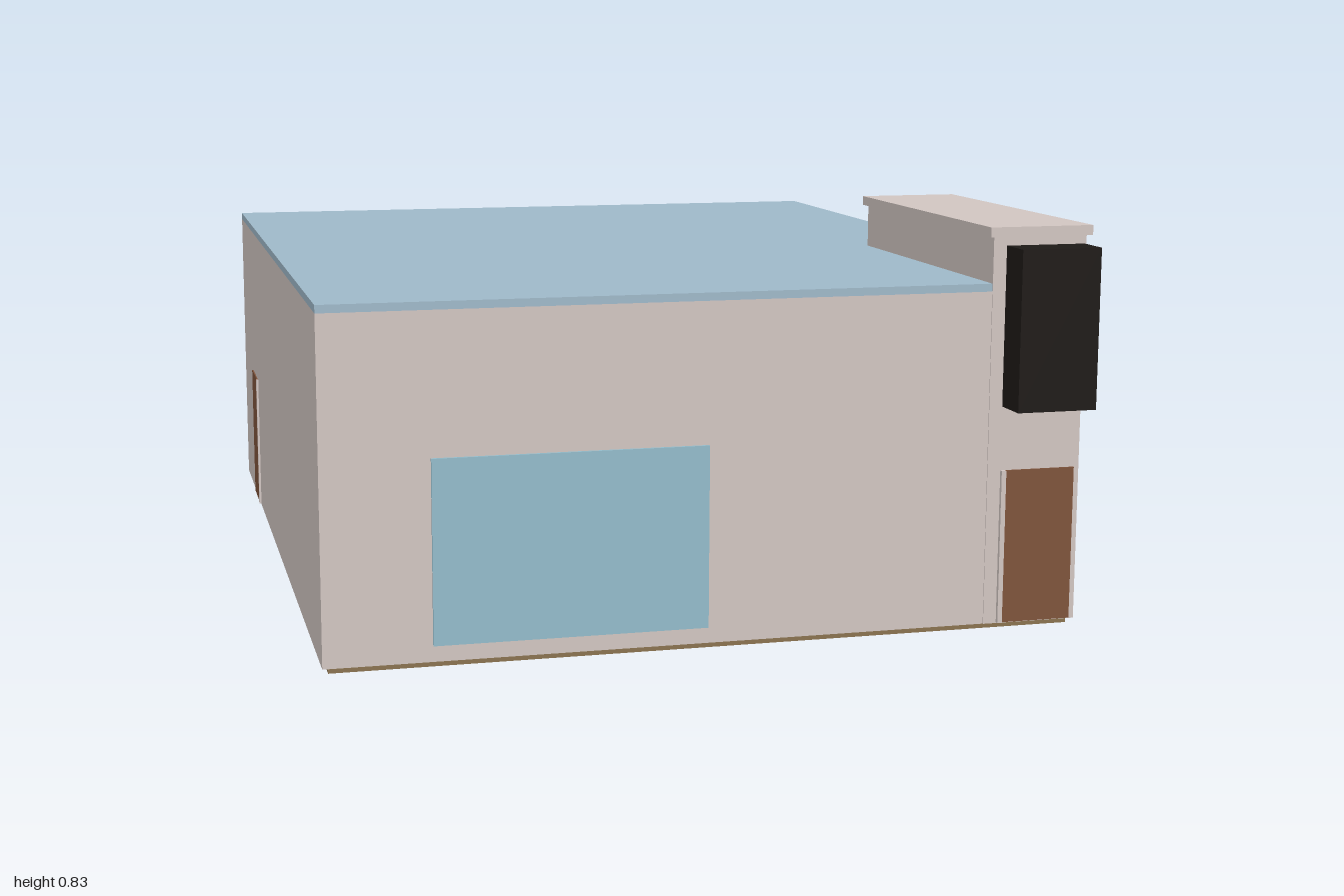
import * as THREE from 'three';

const paint = (color) => new THREE.MeshStandardMaterial({ color, side: THREE.DoubleSide });

export function createModel() {
  const shop = new THREE.Group();
  shop.name = 'shopBuilding';

  const wall = paint(0xd2c6c2);
  const roofBlue = paint(0x9fb9c9);
  const glass = paint(0x94bccb);
  const wood = paint(0x7f543b);
  const black = paint(0x1e1a17);
  const ground = paint(0x8a7350);

  // Box given by its extents along each axis
  const block = (name, material, [x0, x1], [y0, y1], [z0, z1]) => {
    const mesh = new THREE.Mesh(new THREE.BoxGeometry(x1 - x0, y1 - y0, z1 - z0), material);
    mesh.position.set((x0 + x1) / 2, (y0 + y1) / 2, (z0 + z1) / 2);
    mesh.name = name;
    shop.add(mesh);
    return mesh;
  };

  // L-shaped slab in plan, leaving a notch for the corner tower
  const slab = (name, material, y0, y1) => {
    const plan = new THREE.Shape([
      [-0.782, -0.92], [0.572, -0.92], [0.572, -0.2], [0.772, -0.2], [0.772, 0.945], [-0.782, 0.945],
    ].map(([x, y]) => new THREE.Vector2(x, y)));
    const geometry = new THREE.ExtrudeGeometry(plan, { depth: y1 - y0, bevelEnabled: false });
    geometry.rotateX(-Math.PI / 2);
    const mesh = new THREE.Mesh(geometry, material);
    mesh.position.y = y0;
    mesh.name = name;
    shop.add(mesh);
  };

  // Foundation, walls and flat roof
  block('foundation', ground, [-0.77, 0.76], [0, 0.012], [-0.93, 0.91]);
  slab('walls', wall, 0.012, 0.7);
  slab('roof', roofBlue, 0.7, 0.716);

  // Corner tower with its overhanging cap
  block('tower', wall, [0.572, 0.772], [0.012, 0.81], [0.2, 0.922]);
  block('towerCap', wall, [0.562, 0.782], [0.81, 0.83], [0.19, 0.93]);

  // Hanging box on the tower front
  block('signBox', black, [0.6, 0.768], [0.465, 0.792], [0.922, 1]);

  // Doors with a slim jamb
  block('frontDoor', wood, [0.61, 0.76], [0.014, 0.333], [0.915, 0.926]);
  block('frontDoorJamb', wall, [0.6, 0.61], [0.014, 0.333], [0.915, 0.93]);
  block('sideDoor', wood, [-0.785, -0.77], [0.014, 0.333], [-0.68, -0.53]);
  block('sideDoorJamb', wall, [-0.787, -0.77], [0.014, 0.333], [-0.53, -0.52]);

  // Display panels on the wall, with glass panes standing in front
  block('frontDisplay', wood, [-0.53, -0.08], [0.09, 0.4], [0.915, 0.925]);
  block('frontGlass', glass, [-0.575, -0.03], [0.06, 0.425], [0.97, 0.976]);
  for (const x of [-0.51, 0.35]) {
    block('backDisplay', wood, [x, x + 0.15], [0.09, 0.4], [-0.95, -0.94]);
  }
  block('backGlass', glass, [-0.565, 0.55], [0.06, 0.425], [-1, -0.994]);

  return shop;
}
